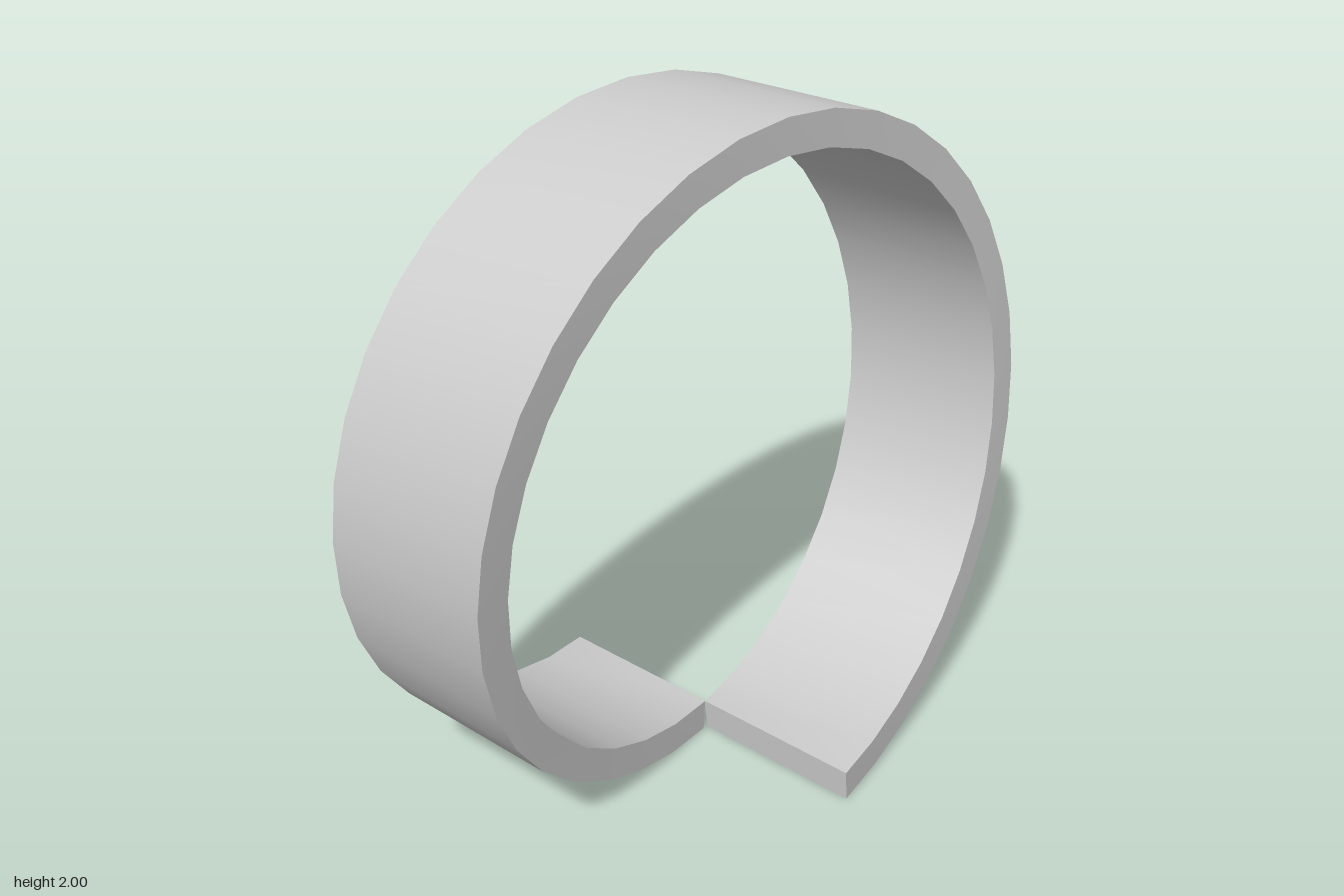
import * as THREE from 'three';
import { toCreasedNormals } from 'three/addons/utils/BufferGeometryUtils.js';

const SEGMENTS = 36, WIDTH = 0.53, INNER = 0.9, OUTER = 1, PITCH = 0.53;

// Four corners of the band's section at fraction t of the turn, starting at the bottom
function section(t) {
  const angle = t * Math.PI * 2;
  const mid = (t - 0.5) * PITCH;
  // the end cuts lean open slightly, square to the first and last facet
  const lean = t === 0 ? 0.008 : t === 1 ? -0.008 : 0;
  const corner = (side, r, shift) =>
    [mid + side * WIDTH / 2, 1 - r * Math.cos(angle), r * Math.sin(angle) + shift];
  return [corner(-1, INNER, 0), corner(-1, OUTER, lean), corner(1, OUTER, lean), corner(1, INNER, 0)];
}

// One turn of a flat band swept along a helix, capped at both ends
function helixBand() {
  const positions = [];
  const quad = (a, b, c, d) => positions.push(...a, ...b, ...c, ...a, ...c, ...d);
  const rings = Array.from({ length: SEGMENTS + 1 }, (_, i) => section(i / SEGMENTS));
  for (let i = 0; i < SEGMENTS; i++) {
    const p = rings[i], q = rings[i + 1];
    for (let k = 0; k < 4; k++) {
      const n = (k + 1) % 4;
      quad(p[k], p[n], q[n], q[k]);
    }
  }
  const [a, b, c, d] = rings[0];
  quad(d, c, b, a);
  quad(...rings[SEGMENTS]);
  const geometry = new THREE.BufferGeometry();
  geometry.setAttribute('position', new THREE.Float32BufferAttribute(positions, 3));
  return toCreasedNormals(geometry, 0.6);
}

export function createModel() {
  const group = new THREE.Group();
  group.name = 'helicalRing';
  const band = new THREE.Mesh(helixBand(), new THREE.MeshStandardMaterial({ color: 0xcccccc }));
  band.name = 'helixBand';
  group.add(band);
  return group;
}
